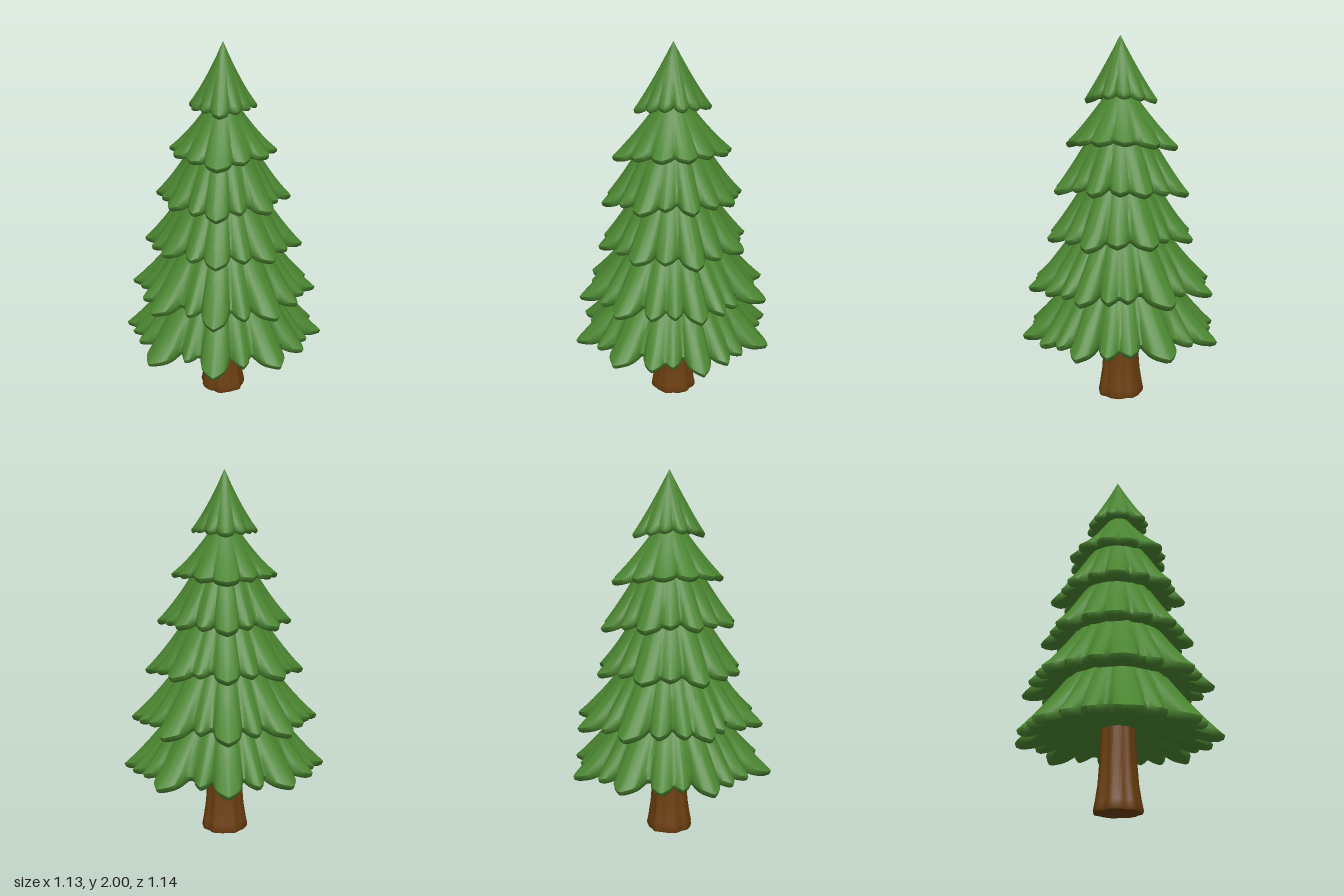
import * as THREE from 'three';
import { toCreasedNormals } from 'three/addons/utils/BufferGeometryUtils.js';

const DEG = Math.PI / 180;

// Closed grid of points swept round the y axis: point(row, angle) -> [radius, y]
function sweep(rows, columns, point, crease) {
  const positions = [], index = [];
  for (let j = 0; j < rows; j++) {
    for (let i = 0; i < columns; i++) {
      const a = (i / columns) * Math.PI * 2;
      const [r, y] = point(j, a);
      positions.push(r * Math.sin(a), y, r * Math.cos(a));
      if (j === rows - 1) continue;
      const n = (i + 1) % columns;
      const p = j * columns + i, q = j * columns + n;
      index.push(p, p + columns, q, q, p + columns, q + columns);
    }
  }
  const g = new THREE.BufferGeometry();
  g.setAttribute('position', new THREE.Float32BufferAttribute(positions, 3));
  g.setIndex(index);
  return toCreasedNormals(g, crease);
}

// Leaves of one quarter turn, from the z axis to the x axis: [angle, length, half width]
const WIDE = [[0, 1, 10], [17, 0.88, 8], [40, 1, 11], [59, 0.92, 9], [75, 0.92, 8], [90, 1, 9]];
const MEDIUM = [[0, 1, 12], [22, 0.9, 11], [44, 0.97, 13], [68, 0.91, 12], [90, 1, 11]];
const NARROW = [[0, 1, 16], [30, 0.9, 16], [60, 0.94, 16], [90, 1, 15]];

// Tiers from the ground up: radius along x and z, tip height, slope, curvature, leaves
const TIERS = [
  { rx: 0.565, rz: 0.57, y: 0.375, slope: 0.50, curve: 0.26, leaves: WIDE },
  { rx: 0.52, rz: 0.54, y: 0.645, slope: 0.46, curve: 0.25, leaves: WIDE },
  { rx: 0.44, rz: 0.425, y: 0.92, slope: 0.43, curve: 0.23, leaves: MEDIUM },
  { rx: 0.37, rz: 0.40, y: 1.18, slope: 0.38, curve: 0.23, leaves: MEDIUM },
  { rx: 0.29, rz: 0.335, y: 1.43, slope: 0.25, curve: 0.12, leaves: NARROW },
  { rx: 0.18, rz: 0.215, y: 1.67, slope: 0.25, curve: 0.08, leaves: NARROW },
];

function tierGeometry(tier, level) {
  // Mirror the quarter into a full ring, with slight variation from leaf to leaf
  const ring = [];
  tier.leaves.forEach(([a, length, width], k) => {
    [a, -a, 180 - a, a - 180].forEach((angle, m) => {
      const cardinal = a % 90 === 0;
      const wobble = cardinal ? 0 : Math.sin(level * 5.1 + k * 2.7 + m * 1.9);
      ring.push([(angle + wobble * 2) * DEG, length * (1 + wobble * 0.025), width * DEG]);
    });
  });
  // Outline of the leaf tips: pointed leaves with full shoulders
  const reach = (a) => {
    let best = 0.77;
    for (const [angle, length, width] of ring) {
      const u = Math.abs(Math.atan2(Math.sin(a - angle), Math.cos(a - angle))) / width;
      best = Math.max(best, length * (1 - 0.12 * u - 0.1 * u ** 5));
    }
    return best;
  };
  const steps = 12;
  // Underside: [share of the rim radius, height above the rim]
  const under = [[0.985, -0.02], [0.94, -0.03], [0.8, -0.012], [0.5, 0.04], [0.05, 0.06]];
  return sweep(steps + 1 + under.length, 240, (j, a) => {
    const radius = tier.rz + (tier.rx - tier.rz) * Math.sin(a) ** 2;
    const k = reach(a);
    const height = (t) => {
      const s = 1 - t * (1 + 0.4 * (k - 1) * t);
      const stretch = 0.6 * (radius - (tier.rx + tier.rz) / 2) * t * t;
      return tier.y + tier.slope * s + tier.curve * s * s - stretch;
    };
    if (j <= steps) {
      const t = j / steps;
      return [radius * t * (1 + (k - 1) * t ** 1.5), height(t)];
    }
    const [share, lift] = under[j - steps - 1];
    const size = 0.6 + 0.4 * radius / 0.57;
    // Even out the leaf waves towards the middle
    const y = share > 0.6 ? height(1) : tier.y;
    return [radius * k * share, y + lift * size];
  }, 0.8);
}

// Flared trunk with shallow bark grooves and a closed foot
function trunkGeometry() {
  const profile = [[0, 0.55], [0.088, 0.55], [0.092, 0.38], [0.097, 0.25], [0.105, 0.14],
    [0.119, 0.05], [0.126, 0.015], [0.121, 0], [0, 0]];
  return sweep(profile.length, 72, (j, a) => {
    const [r, y] = profile[j];
    const groove = 0.035 * Math.cos(7 * a + y * 1.5) + 0.02 * Math.cos(12 * a + 1);
    return [r * (1 + groove), y];
  }, 0.7);
}

export function createModel() {
  const green = new THREE.MeshStandardMaterial({ color: 0x4a8430 });
  green.name = 'needle green';
  const brown = new THREE.MeshStandardMaterial({ color: 0x6c3f10 });
  brown.name = 'bark brown';

  const model = new THREE.Group();
  model.name = 'firTree';

  const trunk = new THREE.Mesh(trunkGeometry(), brown);
  trunk.name = 'trunk';
  model.add(trunk);

  const foliage = new THREE.Group();
  foliage.name = 'foliage';
  TIERS.forEach((tier, level) => {
    const mesh = new THREE.Mesh(tierGeometry(tier, level), green);
    mesh.name = `branchTier${level + 1}`;
    foliage.add(mesh);
  });
  model.add(foliage);
  return model;
}
